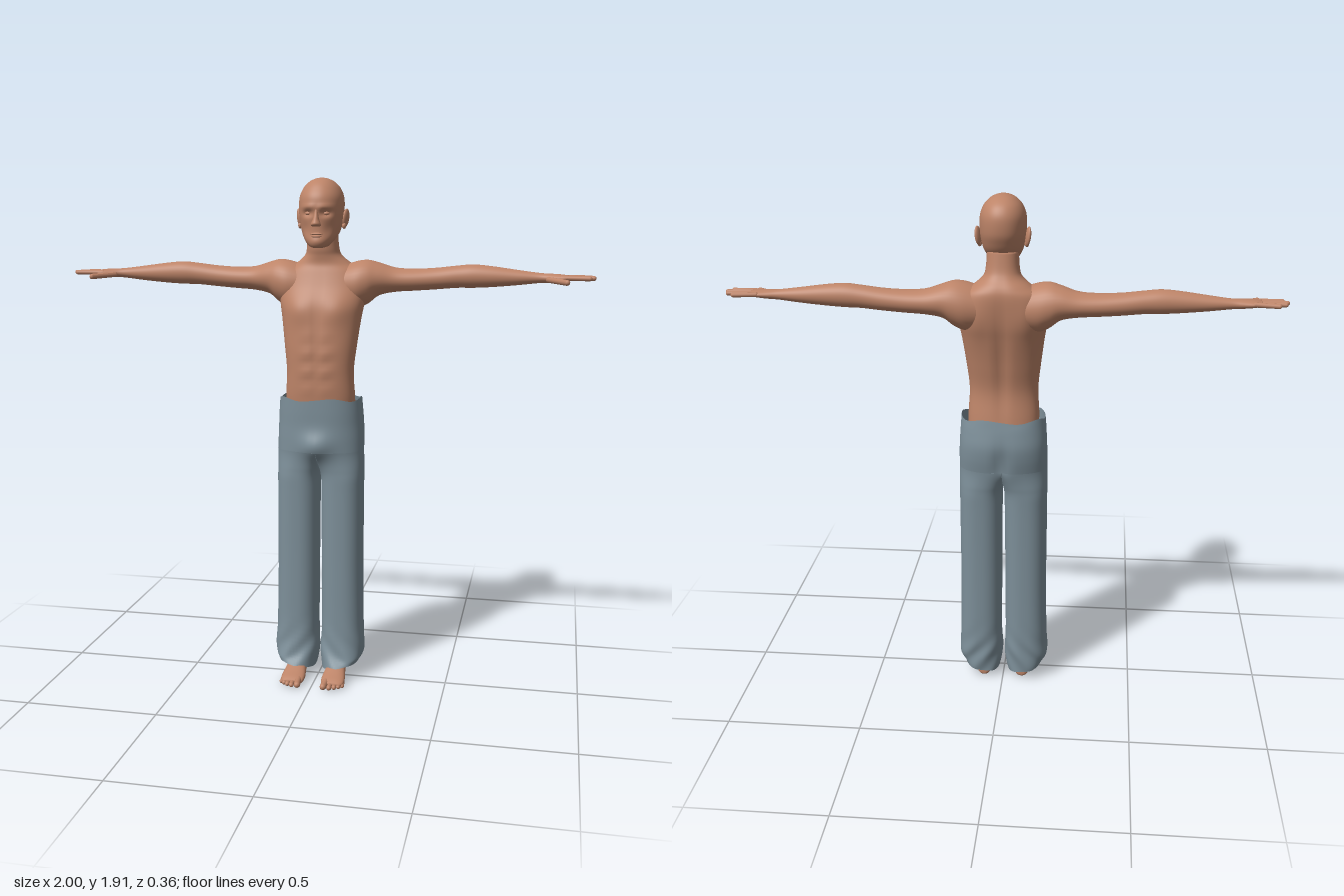
import * as THREE from 'three';

const skinMat = new THREE.MeshStandardMaterial({ color: 0xbd8468 });
skinMat.name = 'skin';
const clothMat = new THREE.MeshStandardMaterial({ color: 0x7d8f99, side: THREE.DoubleSide });
clothMat.name = 'blue grey cloth';

const bump = (d, w) => Math.exp(-(d * d) / (w * w));
const power = (c, e) => Math.sign(c) * Math.pow(Math.abs(c), 2 / e);

// Smoothly resample a table of cross-section rows
function resample(rows, steps) {
  const out = [];
  const at = i => rows[Math.min(rows.length - 1, Math.max(0, i))];
  for (let i = 0; i < rows.length - 1; i++)
    for (let s = 0; s < steps; s++) {
      const t = s / steps;
      out.push(rows[i].map((p1, k) => {
        const p0 = at(i - 1)[k], p2 = at(i + 1)[k], p3 = at(i + 2)[k];
        return p1 + 0.5 * t * (p2 - p0 + t * (2 * p0 - 5 * p1 + 4 * p2 - p3 + t * (3 * (p1 - p2) + p3 - p0)));
      }));
    }
  out.push(at(rows.length - 1));
  return out;
}

// Skin a list of closed rings, optionally capping both ends
function skinRings(rings, caps = true) {
  const n = rings[0].length, pos = rings.flat(2), idx = [];
  for (let i = 0; i < rings.length - 1; i++)
    for (let j = 0; j < n; j++) {
      const a = i * n + j, b = i * n + (j + 1) % n;
      idx.push(a, b, b + n, a, b + n, a + n);
    }
  if (caps) [0, rings.length - 1].forEach((r, end) => {
    const c = pos.length / 3;
    for (let k = 0; k < 3; k++) pos.push(rings[r].reduce((s, p) => s + p[k], 0) / n);
    for (let j = 0; j < n; j++) {
      const a = r * n + j, b = r * n + (j + 1) % n;
      if (end) idx.push(a, b, c); else idx.push(b, a, c);
    }
  });
  const g = new THREE.BufferGeometry();
  g.setAttribute('position', new THREE.Float32BufferAttribute(pos, 3));
  g.setIndex(idx);
  g.computeVertexNormals();
  return g;
}

// Loft along an axis; rows are [t, uMin, uMax, vMin, vMax], u and v being the next two axes
function loft(axis, rows, { n = 32, e = 2, steps = 5, warp } = {}) {
  return skinRings(resample(rows, steps).map(([t, u0, u1, v0, v1]) =>
    Array.from({ length: n }, (_, j) => {
      const a = j / n * Math.PI * 2, p = [0, 0, 0];
      p[axis] = t;
      p[(axis + 1) % 3] = (u0 + u1) / 2 + (u1 - u0) / 2 * power(Math.cos(a), e);
      p[(axis + 2) % 3] = (v0 + v1) / 2 + (v1 - v0) / 2 * power(Math.sin(a), e);
      if (warp) warp(p, Math.cos(a));
      return p;
    })));
}

// Rounded digit between two points
function digit(from, to, r) {
  const a = new THREE.Vector3(...from), b = new THREE.Vector3(...to), d = b.clone().sub(a);
  const g = new THREE.CapsuleGeometry(r, d.length() - r, 5, 12);
  g.applyQuaternion(new THREE.Quaternion().setFromUnitVectors(new THREE.Vector3(0, 1, 0), d.normalize()));
  const m = a.add(b).multiplyScalar(0.5);
  return g.translate(m.x, m.y, m.z);
}

function blob(x, y, z, rx, ry, rz) {
  return new THREE.SphereGeometry(1, 20, 14).scale(rx, ry, rz).translate(x, y, z);
}

function mirrored(geo) {
  const g = geo.clone().scale(-1, 1, 1), i = g.index.array;
  for (let k = 0; k < i.length; k += 3) [i[k], i[k + 1]] = [i[k + 1], i[k]];
  g.computeVertexNormals();
  return g;
}

// Trouser rows: y, outer half width, front z, back z, inner x of each leg
const hipRows = [
  [0.9, 0.165, 0.055, -0.153, 0], [0.95, 0.165, 0.056, -0.163, 0], [1.0, 0.163, 0.056, -0.167, 0],
  [1.05, 0.16, 0.057, -0.16, 0], [1.1, 0.156, 0.057, -0.15, 0]];
const legRows = [
  [0.045, 0.155, 0.078, -0.12, 0.015], [0.1, 0.174, 0.055, -0.122, 0.004], [0.2, 0.17, 0.045, -0.125, 0.008],
  [0.4, 0.166, 0.043, -0.128, 0.007], [0.6, 0.166, 0.043, -0.132, 0.006], [0.78, 0.166, 0.044, -0.138, 0.004],
  [0.84, 0.166, 0.048, -0.145, 0.002], hipRows[0]];

function trouserRing([y, rx, zf, zb, inner], isLeg) {
  const n = 64, e = 2.4, cz = (zf + zb) / 2, rz = (zf - zb) / 2;
  const split = isLeg ? THREE.MathUtils.smoothstep(0.9 - y, 0, 0.12) : 0;
  return Array.from({ length: n }, (_, j) => {
    const a = j / n * Math.PI * 2, s = Math.sin(a);
    const c = Math.abs(Math.cos(a)) < 1e-6 ? 0 : Math.cos(a);
    let x = rx * power(s, e), z = cz + rz * power(c, e), py = y;
    if (isLeg) {
      // half of the hips turning into a separate tube
      const hx = rx * (1 + s) / 2;
      const hz = cz + rz * Math.sign(c) * Math.pow(Math.max(0, 1 - Math.pow(hx / rx, e)), 1 / e);
      const lx = (rx + inner) / 2 + (rx - inner) / 2 * power(s, e);
      x = hx + (lx - hx) * split;
      z = hz + (z - hz) * split;
      // folds and uneven hem
      const low = bump(y - 0.09, 0.09);
      z += 0.004 * low * Math.sin(x * 70 + y * 60);
      py += bump(y - 0.045, 0.03) * (0.008 * c + 0.015 * s);
    }
    if (c > 0) z += 0.024 * bump(x, 0.055) * bump(y - 0.925, 0.045);
    else z += 0.014 * bump(x, 0.025) * bump(y - 0.94, 0.07);
    if (!isLeg) py += bump(y - 1.1, 0.02) * 0.006 * Math.sin(a * 5);
    return [x, py, z];
  });
}

export function createModel() {
  const model = new THREE.Group();
  const add = (name, geo, mat = skinMat) => {
    const m = new THREE.Mesh(geo, mat);
    m.name = name;
    model.add(m);
  };
  const pair = (name, geo, mat) => {
    add('left' + name, geo, mat);
    add('right' + name, mirrored(geo), mat);
  };

  // Torso and neck with chest, belly and spine relief
  const body = [
    [1.0, 0.13, 0.03, -0.13], [1.1, 0.132, 0.045, -0.118], [1.2, 0.127, 0.05, -0.11], [1.3, 0.137, 0.05, -0.13],
    [1.4, 0.15, 0.04, -0.155], [1.46, 0.16, 0.028, -0.17], [1.52, 0.163, 0.0, -0.178], [1.57, 0.145, -0.02, -0.18],
    [1.6, 0.105, -0.03, -0.172], [1.63, 0.07, -0.028, -0.152], [1.66, 0.06, -0.022, -0.14], [1.72, 0.056, -0.02, -0.13]];
  add('torso', loft(1, body.map(([y, r, f, b]) => [y, b, f, -r, r]), {
    n: 64, e: 2.25, steps: 6, warp: (p, c) => {
      const [x, y] = p, ax = Math.abs(x);
      if (c > 0) {
        p[2] += 0.01 * bump(ax - 0.075, 0.05) * bump(y - 1.43, 0.05);
        p[2] -= 0.006 * bump(x, 0.015) * bump(y - 1.32, 0.16);
        p[2] += 0.003 * bump(ax - 0.035, 0.03) * Math.sin(y * 90) * bump(y - 1.23, 0.1);
      } else {
        p[2] += 0.012 * bump(x, 0.022) * bump(y - 1.33, 0.2);
        p[2] -= 0.008 * bump(ax - 0.09, 0.04) * bump(y - 1.48, 0.07);
      }
    }
  }));

  // Arms and palms
  pair('Arm', loft(0, [
    [0.08, 1.44, 1.595, -0.172, -0.02], [0.13, 1.435, 1.61, -0.184, -0.012], [0.17, 1.452, 1.614, -0.186, -0.02],
    [0.21, 1.482, 1.604, -0.183, -0.038], [0.27, 1.495, 1.586, -0.178, -0.06], [0.34, 1.5, 1.582, -0.174, -0.07],
    [0.42, 1.506, 1.586, -0.17, -0.078], [0.5, 1.513, 1.595, -0.165, -0.08], [0.56, 1.514, 1.6, -0.162, -0.078],
    [0.63, 1.518, 1.594, -0.156, -0.08], [0.72, 1.526, 1.582, -0.148, -0.087], [0.8, 1.535, 1.572, -0.14, -0.093],
    [0.84, 1.537, 1.57, -0.142, -0.083], [0.88, 1.541, 1.568, -0.145, -0.068], [0.905, 1.547, 1.564, -0.138, -0.07]], { n: 36 }));

  // Fingers and thumb
  [[-0.137, -0.147, 0.965], [-0.118, -0.122, 0.99], [-0.099, -0.098, 0.998], [-0.079, -0.073, 0.983]].forEach(([z0, z1, tip], i) =>
    pair('Finger' + (i + 1), digit([0.875, 1.556, z0], [tip, 1.555, z1], 0.0088)));
  pair('Thumb', digit([0.83, 1.549, -0.092], [0.903, 1.543, -0.015], 0.0105));

  // Head with brow and eye sockets
  const head = [
    [1.661, 0.018, 0.03, -0.01], [1.668, 0.036, 0.042, -0.05], [1.69, 0.055, 0.046, -0.09], [1.72, 0.07, 0.043, -0.13],
    [1.755, 0.078, 0.045, -0.152], [1.79, 0.082, 0.05, -0.165], [1.84, 0.081, 0.046, -0.167], [1.875, 0.068, 0.026, -0.152],
    [1.898, 0.047, 0.002, -0.125], [1.91, 0.024, -0.028, -0.093], [1.914, 0.004, -0.056, -0.064]];
  add('head', loft(1, head.map(([y, r, f, b]) => [y, b, f, -r, r]), {
    n: 72, e: 2.15, steps: 7, warp: (p, c) => {
      if (c < 0) return;
      const [x, y] = p, ax = Math.abs(x);
      p[2] -= 0.013 * bump(ax - 0.033, 0.02) * bump(y - 1.785, 0.013);
      p[2] += 0.006 * bump(ax - 0.03, 0.03) * bump(y - 1.808, 0.01);
      p[2] -= 0.005 * bump(ax - 0.045, 0.018) * bump(y - 1.73, 0.025);
      p[2] += 0.004 * bump(x, 0.03) * bump(y - 1.682, 0.014);
    }
  }));

  // Nose, eyes, lips and ears
  add('nose', loft(1, [
    [1.738, 0.03, 0.056, -0.012, 0.012], [1.742, 0.03, 0.069, -0.018, 0.018], [1.75, 0.03, 0.074, -0.017, 0.017],
    [1.765, 0.03, 0.066, -0.011, 0.011], [1.785, 0.03, 0.055, -0.008, 0.008], [1.802, 0.03, 0.05, -0.008, 0.008]], { n: 24 }));
  pair('Eye', blob(0.032, 1.785, 0.025, 0.014, 0.008, 0.011));
  add('upperLip', blob(0, 1.712, 0.042, 0.023, 0.0045, 0.009));
  add('lowerLip', blob(0, 1.703, 0.041, 0.02, 0.005, 0.009));
  pair('Ear', blob(0, 0, 0, 0.009, 0.034, 0.02).rotateY(-0.35).rotateZ(-0.12).translate(0.088, 1.768, -0.07));
  pair('Earlobe', blob(0.083, 1.74, -0.062, 0.008, 0.012, 0.01));

  // Trousers: hips and two loose legs
  add('trouserHips', skinRings(resample(hipRows, 6).map(r => trouserRing(r, false)), false), clothMat);
  pair('TrouserLeg', skinRings(resample(legRows, 7).map(r => trouserRing(r, true)), false), clothMat);

  // Feet, ankles and toes
  pair('Foot', loft(2, [
    [-0.1, 0.065, 0.085, 0.012, 0.035], [-0.09, 0.05, 0.1, 0.004, 0.055], [-0.05, 0.043, 0.107, 0.0, 0.08],
    [0.0, 0.043, 0.11, 0.004, 0.085], [0.05, 0.039, 0.116, 0.004, 0.066], [0.1, 0.033, 0.123, 0.0, 0.044],
    [0.13, 0.036, 0.122, 0.001, 0.032], [0.148, 0.044, 0.11, 0.006, 0.022]], { n: 32, e: 2.3 }));
  pair('Ankle', loft(1, [
    [0.04, -0.085, -0.005, 0.045, 0.105], [0.12, -0.08, -0.015, 0.048, 0.106], [0.3, -0.09, 0.0, 0.04, 0.115]], { n: 24 }));
  [[0.05, 0.178, 0.0125], [0.073, 0.174, 0.0095], [0.091, 0.165, 0.009], [0.106, 0.154, 0.0085], [0.119, 0.142, 0.008]].forEach(([x, z, r], i) =>
    pair('Toe' + (i + 1), digit([x * 0.85 + 0.012, r + 0.008, z - 0.055], [x, r + 0.001, z - r / 2], r)));

  return model;
}
